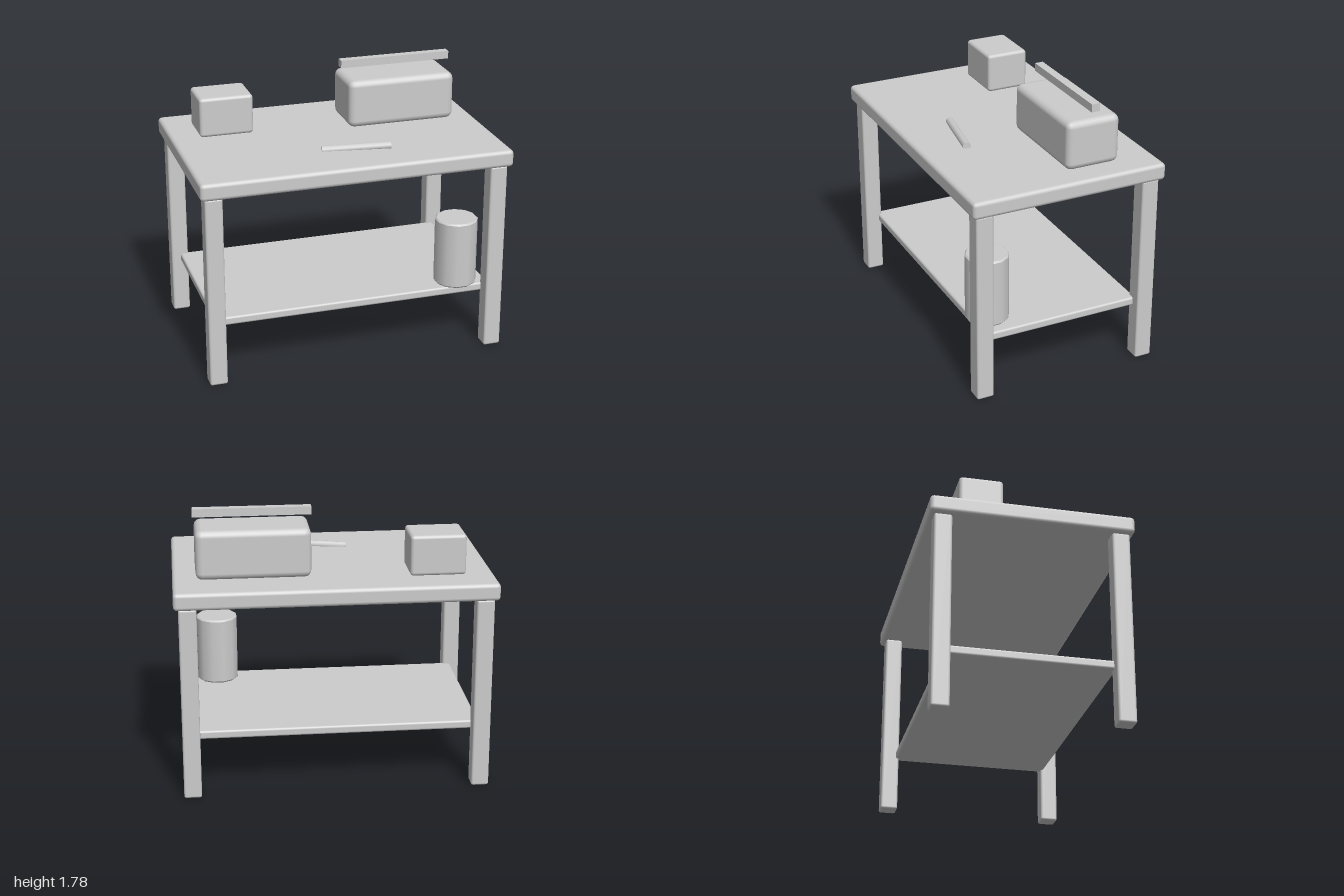
import * as THREE from 'three';
import { RoundedBoxGeometry } from 'three/addons/geometries/RoundedBoxGeometry.js';

export function createModel() {
  const model = new THREE.Group();
  model.name = 'workbench';
  const grey = new THREE.MeshStandardMaterial({ color: 0xcccccc });
  grey.name = 'light grey';

  const add = (name, geometry) => {
    const mesh = new THREE.Mesh(geometry, grey);
    mesh.name = name;
    model.add(mesh);
    return mesh;
  };

  // Box from its lower and upper corners; radius 0 keeps sharp edges
  const box = (name, [x0, y0, z0], [x1, y1, z1], radius) => {
    const size = [x1 - x0, y1 - y0, z1 - z0];
    const geometry = radius
      ? new RoundedBoxGeometry(...size, 2, radius)
      : new THREE.BoxGeometry(...size);
    add(name, geometry).position.set((x0 + x1) / 2, (y0 + y1) / 2, (z0 + z1) / 2);
  };

  // Bench: top, lower shelf and four legs
  box('benchTop', [-1, 1.25, -0.64], [1, 1.36, 0.64], 0.025);
  box('lowerShelf', [-0.91, 0.36, -0.52], [0.91, 0.415, 0.52], 0.014);
  for (const x of [-0.915, 0.915]) {
    for (const z of [-0.555, 0.555]) {
      const name = (z > 0 ? 'front' : 'back') + (x > 0 ? 'Left' : 'Right') + 'Leg';
      box(name, [x - 0.056, 0, z - 0.056], [x + 0.056, 1.25, z + 0.056], 0.014);
    }
  }

  // Toolbox with the handle bar above it, and a small box
  box('toolbox', [0.14, 1.36, -0.395], [0.855, 1.672, -0.04], 0.042);
  box('toolboxHandle', [0.128, 1.725, -0.242], [0.866, 1.776, -0.188], 0);
  box('smallBox', [-0.82, 1.36, -0.43], [-0.47, 1.618, -0.15], 0.022);

  // Twelve-sided canister with a narrow bevel at each rim
  const r = 0.138, h = 0.445, b = 0.009;
  const profile = [
    [0, 0], [r - b - 0.002, 0], [r - b, 0], [r, b], [r, b + 0.002],
    [r, h - b - 0.002], [r, h - b], [r - b, h], [r - b - 0.002, h], [0, h],
  ].map(([x, y]) => new THREE.Vector2(x, y));
  add('canister', new THREE.LatheGeometry(profile, 12, Math.PI / 12))
    .position.set(0.712, 0.415, 0.425);

  // Round tool lying slightly tilted on the bench
  const start = new THREE.Vector3(-0.146, 1.362, 0.28);
  const end = new THREE.Vector3(0.282, 1.374, 0.355);
  const axis = end.clone().sub(start);
  const rod = add('toolRod', new THREE.CylinderGeometry(0.026, 0.026, axis.length(), 10));
  rod.position.copy(start).add(end).multiplyScalar(0.5);
  rod.quaternion.setFromUnitVectors(new THREE.Vector3(0, 1, 0), axis.normalize());

  return model;
}
